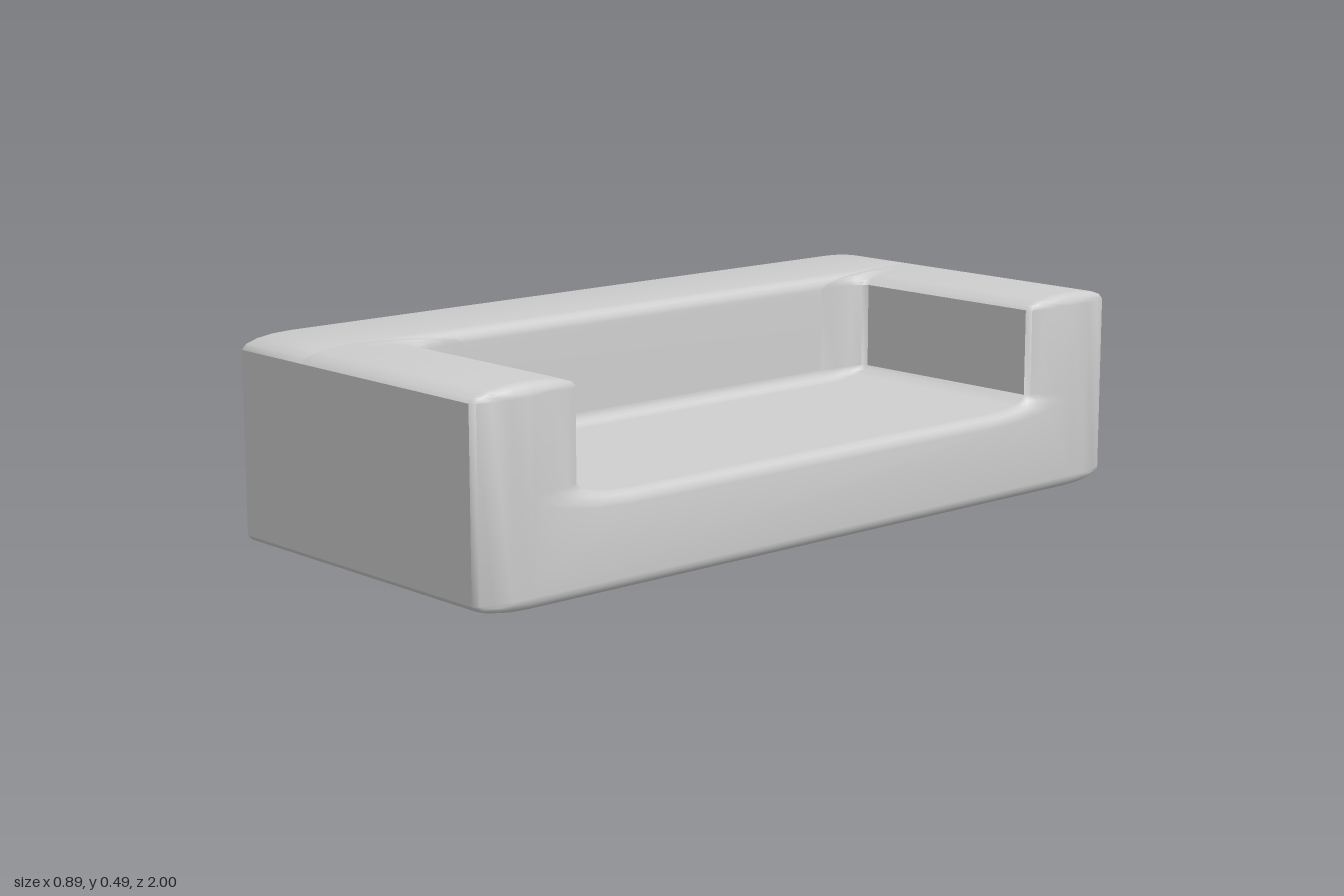
import * as THREE from 'three';
import { toCreasedNormals } from 'three/addons/utils/BufferGeometryUtils.js';

const RX = 0.03, RY = 0.03, RZ = 0.14; // edge rounding along each axis
const STEPS = 4;
const TOP = 0.49, HALF_Z = 1;
const BACK_X = -0.445, FRONT_X = 0.445, WALL_X = -0.15;
const SEAT_Y = 0.22, ARM_Z = 0.715;

// Quarter turn of an ellipse in the (y, z) plane, angles in quarter turns
function corner(cy, cz, ry, rz, from, to) {
  return Array.from({ length: STEPS + 1 }, (_, i) => {
    const a = (from + (to - from) * i / STEPS) * Math.PI / 2;
    return [cy + ry * Math.cos(a), cz + rz * Math.sin(a)];
  });
}

// Complete a half outline (z < 0) with its mirror image
const mirrored = (half) => [...half, ...half.map(([y, z]) => [y, -z]).reverse()];

// Outer corners at the bottom and top, inset by t (0 to 1)
function outerCorners(t, top = TOP) {
  const ry = RY * (1 - t), rz = RZ * (1 - t), cz = -(HALF_Z - RZ);
  return [...corner(RY, cz, ry, rz, 2, 3), ...corner(top - RY, cz, ry, rz, 3, 4)];
}

const backOutline = (t, top) => mirrored(outerCorners(t, top));

// U-shaped outline: t > 0 shrinks the solid, t < 0 narrows the seat opening
function seatOutline(t) {
  const ry = RY * (1 - Math.max(t, 0));
  return mirrored([
    ...outerCorners(Math.max(t, 0)),
    ...corner(TOP - RY, -(ARM_Z + RZ), ry, RZ * (1 - t), 0, 1),
    ...corner(SEAT_Y + RY, -(ARM_Z - RZ), RY * (1 + t), RZ * (1 + t), 3, 2),
  ]);
}

// Skin outlines placed along x, closing the chosen ends
function loft(sections, capStart, capEnd) {
  const pos = [];
  const rings = sections.map(([x, pts]) => pts.map(([y, z]) => new THREE.Vector3(x, y, z)));
  const tri = (a, b, c) => {
    if (new THREE.Triangle(a, b, c).getArea() > 1e-9) {
      for (const p of [a, b, c]) pos.push(p.x, p.y, p.z);
    }
  };
  for (let s = 0; s < rings.length - 1; s++) {
    const A = rings[s], B = rings[s + 1];
    A.forEach((p, i) => {
      const j = (i + 1) % A.length;
      tri(p, A[j], B[j]);
      tri(p, B[j], B[i]);
    });
  }
  const cap = (ring, flip) => {
    const flat = ring.map((p) => new THREE.Vector2(p.y, p.z));
    for (const [a, b, c] of THREE.ShapeUtils.triangulateShape(flat, [])) {
      const up = (flat[b].x - flat[a].x) * (flat[c].y - flat[a].y)
        - (flat[b].y - flat[a].y) * (flat[c].x - flat[a].x) > 0;
      if (up !== flip) tri(ring[a], ring[b], ring[c]);
      else tri(ring[a], ring[c], ring[b]);
    }
  };
  if (capStart) cap(rings[0], true);
  if (capEnd) cap(rings[rings.length - 1], false);
  const geo = new THREE.BufferGeometry();
  geo.setAttribute('position', new THREE.Float32BufferAttribute(pos, 3));
  return toCreasedNormals(geo, 0.6);
}

export function createModel() {
  const group = new THREE.Group();
  group.name = 'sofa';
  const material = new THREE.MeshStandardMaterial({ color: 0xcccccc, side: THREE.DoubleSide });
  const add = (name, geometry) => {
    const mesh = new THREE.Mesh(geometry, material);
    mesh.name = name;
    group.add(mesh);
  };

  // Offset along x and inset for each step of a rounded edge
  const round = Array.from({ length: STEPS + 1 }, (_, i) => {
    const a = i / STEPS * Math.PI / 2;
    return [RX * Math.sin(a), 1 - Math.cos(a)];
  });
  const reversed = [...round].reverse();

  // Backrest: rounded rear, flat top, rounded upper edge above the seat
  add('backrest', loft([
    ...reversed.map(([dx, t]) => [BACK_X + RX - dx, backOutline(t)]),
    ...round.map(([dx, t]) => [WALL_X - RX + dx, backOutline(0, TOP - RY * t)]),
  ], true, true));

  // Seat and arms: hollow fillet at the backrest, rounded edge at the open side
  add('seatAndArms', loft([
    [WALL_X - RX, seatOutline(-1)],
    ...reversed.map(([dx, t]) => [WALL_X + RX - dx, seatOutline(-t)]),
    ...round.map(([dx, t]) => [FRONT_X - RX + dx, seatOutline(t)]),
  ], false, true));

  return group;
}
